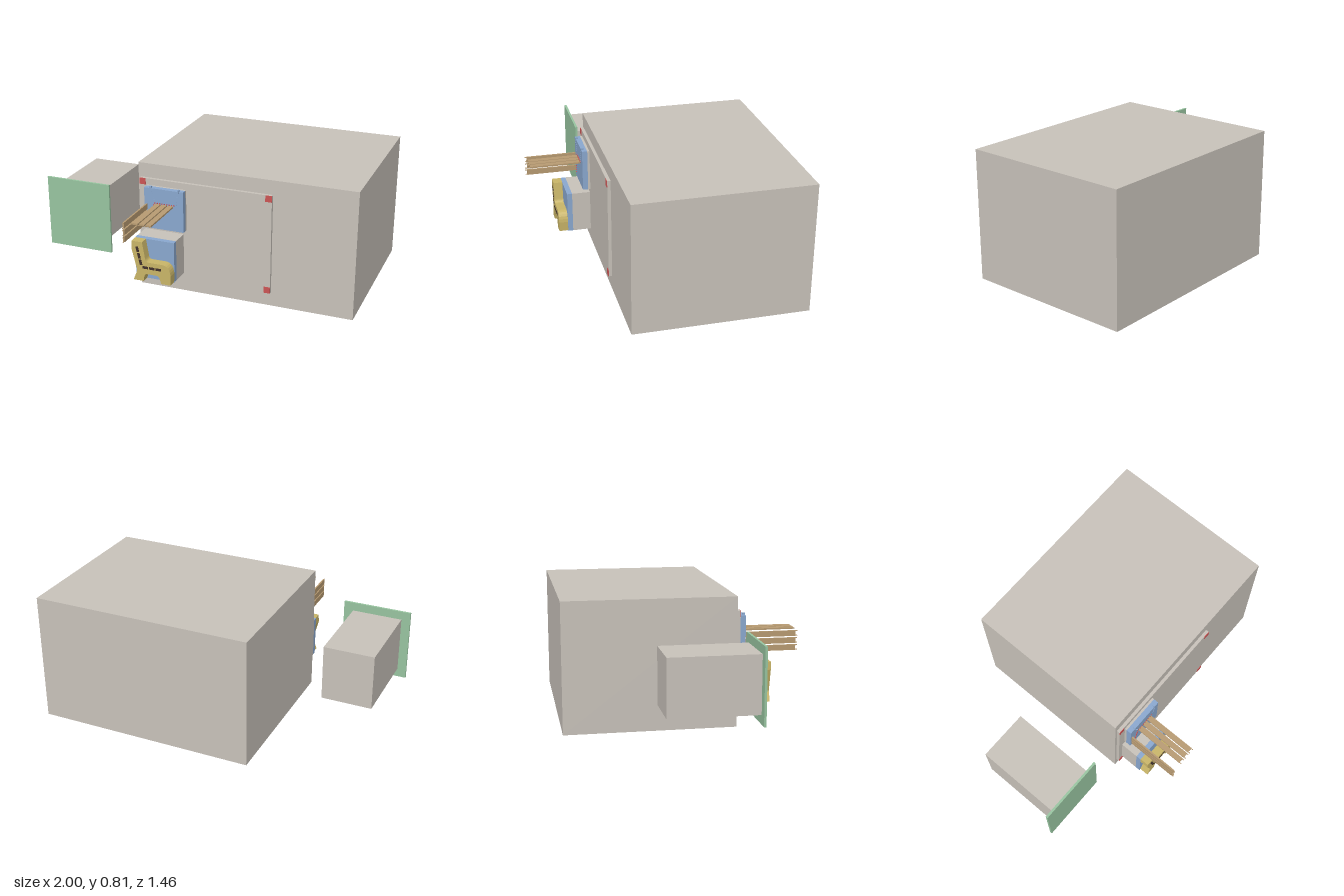
import * as THREE from 'three';

const mat = (name, color) => {
  const m = new THREE.MeshStandardMaterial({ color });
  m.name = name;
  return m;
};

export function createModel() {
  const grey = mat('warm grey', 0xc8c2ba);
  const green = mat('soft green', 0x98c4a0);
  const blue = mat('plate blue', 0x8aa8cf);
  const yellow = mat('mustard', 0xc9b568);
  const red = mat('marker red', 0xcc5555);
  const tan = mat('timber tan', 0xb89b72);
  const dark = mat('slot brown', 0x40302a);

  const model = new THREE.Group();
  model.name = 'displayBlocks';

  // Box from its minimum and maximum corners
  const box = (name, material, [x0, y0, z0], [x1, y1, z1], parent = model) => {
    const mesh = new THREE.Mesh(new THREE.BoxGeometry(x1 - x0, y1 - y0, z1 - z0), material);
    mesh.position.set((x0 + x1) / 2, (y0 + y1) / 2, (z0 + z1) / 2);
    mesh.name = name;
    parent.add(mesh);
    return mesh;
  };

  // Row of small studs facing the front, from a to b
  const studs = (name, material, a, b, count, z0, z1, r = 0.004) => {
    const group = new THREE.Group();
    group.name = name;
    const geo = new THREE.CylinderGeometry(r, r, z1 - z0, 8).rotateX(Math.PI / 2);
    for (let i = 0; i < count; i++) {
      const t = i / (count - 1);
      const stud = new THREE.Mesh(geo, material);
      stud.position.set(a[0] + (b[0] - a[0]) * t, a[1] + (b[1] - a[1]) * t, (z0 + z1) / 2);
      stud.name = 'stud';
      group.add(stud);
    }
    model.add(group);
  };

  // Main block and its raised front panel
  box('mainBlock', grey, [-0.37, 0, -0.73], [1, 0.81, 0.333]);
  box('frontPanel', grey, [-0.355, 0.09, 0.333], [0.49, 0.72, 0.353]);
  for (const x of [-0.355, 0.45])
    for (const y of [0.09, 0.68])
      box('cornerMarker', red, [x, y, 0.353], [x + 0.04, y + 0.04, 0.356]);

  // Separate side block with a green face plate
  box('sideBlock', grey, [-0.945, 0.235, -0.2], [-0.63, 0.582, 0.336]);
  box('greenPlate', green, [-1, 0.18, 0.336], [-0.57, 0.635, 0.35]);

  // Upper mounting plate with locating pegs
  box('upperSpacer', grey, [-0.305, 0.42, 0.353], [-0.05, 0.68, 0.367]);
  box('upperPlate', blue, [-0.305, 0.42, 0.367], [-0.05, 0.68, 0.4]);
  for (const x of [-0.264, -0.083])
    box('upperPeg', blue, [x - 0.006, 0.67, 0.386], [x + 0.006, 0.692, 0.402]);
  studs('leftPlateStuds', blue, [-0.262, 0.67], [-0.24, 0.605], 6, 0.398, 0.403);
  studs('rightPlateStuds', blue, [-0.083, 0.67], [-0.098, 0.595], 6, 0.398, 0.403);
  studs('backStuds', red, [-0.268, 0.45], [-0.243, 0.575], 9, 0.398, 0.404);
  studs('seatStuds', red, [-0.235, 0.588], [-0.11, 0.588], 9, 0.398, 0.404);

  // Long timber slats with thin edge rods: three for the seat, three for the back
  for (let i = 0; i < 3; i++) {
    const x = -0.233 + i * 0.042;
    box('seatSlat', tan, [x, 0.573, 0.4], [x + 0.034, 0.583, 0.718]);
    studs('seatSlatRods', tan, [x + 0.003, 0.578], [x + 0.031, 0.578], 2, 0.4, 0.73, 0.003);
    const y = 0.453 + i * 0.044;
    box('backSlat', tan, [-0.296, y, 0.4], [-0.286, y + 0.035, 0.718]);
    studs('backSlatRods', tan, [-0.291, y + 0.003], [-0.291, y + 0.032], 2, 0.4, 0.73, 0.003);
  }

  // Lower mounting block and plate
  box('lowerBlock', grey, [-0.325, 0.13, 0.353], [-0.07, 0.39, 0.468]);
  box('lowerPlate', blue, [-0.325, 0.13, 0.468], [-0.07, 0.39, 0.5]);
  for (const x of [-0.276, -0.103])
    box('lowerPeg', blue, [x - 0.006, 0.119, 0.488], [x + 0.006, 0.14, 0.501]);

  // Bench side frame
  const s = new THREE.Shape();
  s.moveTo(-0.323, 0.39);
  s.lineTo(-0.325, 0.34);
  s.lineTo(-0.29, 0.2);
  s.lineTo(-0.316, 0.134);
  s.lineTo(-0.25, 0.134);
  s.lineTo(-0.244, 0.165);
  s.quadraticCurveTo(-0.24, 0.184, -0.222, 0.184);
  s.lineTo(-0.165, 0.184);
  s.quadraticCurveTo(-0.147, 0.184, -0.142, 0.165);
  s.lineTo(-0.133, 0.134);
  s.lineTo(-0.072, 0.134);
  s.lineTo(-0.07, 0.195);
  s.quadraticCurveTo(-0.075, 0.262, -0.125, 0.262);
  s.lineTo(-0.215, 0.262);
  s.quadraticCurveTo(-0.232, 0.263, -0.236, 0.285);
  s.lineTo(-0.254, 0.39);
  const frame = new THREE.Mesh(
    new THREE.ExtrudeGeometry(s, { depth: 0.057, bevelEnabled: false, curveSegments: 6 }), yellow);
  frame.position.z = 0.5;
  frame.name = 'benchFrame';
  model.add(frame);

  // Slots in the bench frame, each row along a line
  const slotRow = (name, a, b, count) => {
    const dx = b[0] - a[0], dy = b[1] - a[1];
    const step = Math.hypot(dx, dy) / count;
    for (let i = 0; i < count; i++) {
      const t = (i + 0.5) / count;
      const slot = new THREE.Mesh(new THREE.BoxGeometry(step * 0.86, 0.016, 0.003), dark);
      slot.position.set(a[0] + dx * t, a[1] + dy * t, 0.5575);
      slot.rotation.z = Math.atan2(dy, dx);
      slot.name = name;
      model.add(slot);
    }
  };
  slotRow('backSlot', [-0.29, 0.36], [-0.262, 0.237], 3);
  slotRow('seatSlot', [-0.258, 0.226], [-0.128, 0.226], 3);

  return model;
}
